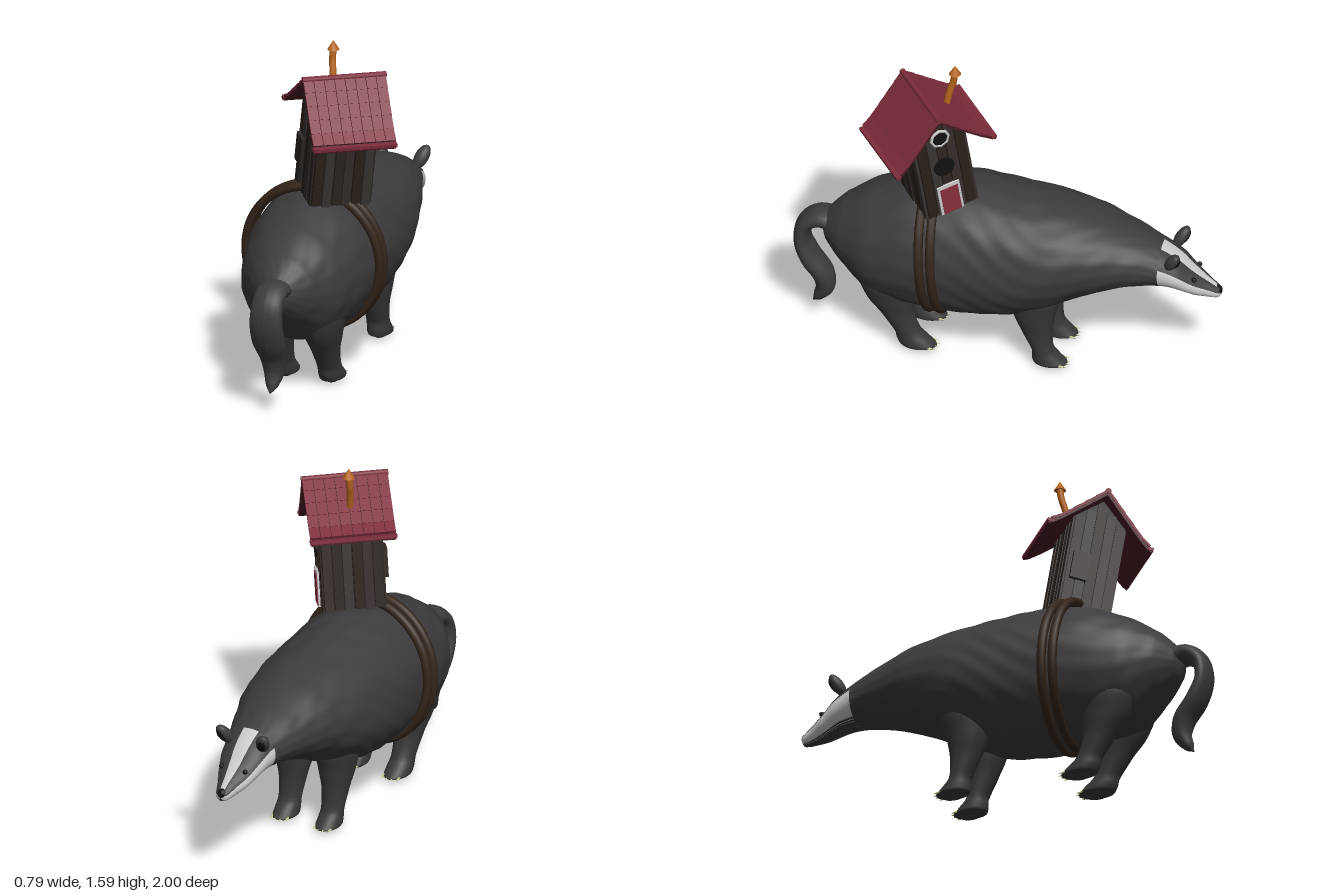
import * as THREE from 'three';

const mat = (color) => new THREE.MeshStandardMaterial({ color, side: THREE.DoubleSide });
const FUR = mat(0x3d3b3d), LEG = mat(0x383839), WHITE = mat(0xcfcfcf), BLACK = mat(0x111111), CLAW = mat(0xc6c68c);
const ROPE = mat(0x33251a), WOOD = [mat(0x2e2622), mat(0x352d2a), mat(0x2b211a), mat(0x3a3532)];
const DARK = mat(0x1c1615), TILE = mat(0x7d2c3b), TILE_DARK = mat(0x4a1a24), DOOR = mat(0x8a2f40), ORANGE = mat(0xb5651d);
const CX = -0.04; // the animal's middle plane

function add(parent, name, geo, material, x = 0, y = 0, z = 0) {
  const m = new THREE.Mesh(geo, material);
  m.name = name;
  m.position.set(x, y, z);
  parent.add(m);
  return m;
}

// Skin of ellipses along a path in the yz plane; rows are [y, z, halfWidth, halfDepth].
// Angles run from +x over the upper side; axis fixes the direction of the rings.
function loft(rows, { x = 0, axis = null, a0 = -90, a1 = 270, t0 = 0, t1 = 1, steps = 40, seg = 32, bump = 0 } = {}) {
  const path = new THREE.CatmullRomCurve3(rows.map((r) => new THREE.Vector3(x, r[0], r[1])));
  const radii = new THREE.CatmullRomCurve3(rows.map((r) => new THREE.Vector3(r[2], r[3], 0)), false, 'catmullrom', 0.4);
  const X = new THREE.Vector3(1, 0, 0), pos = [], idx = [];
  for (let i = 0; i <= steps; i++) {
    const t = t0 + (t1 - t0) * i / steps;
    const c = path.getPoint(t), r = radii.getPoint(t);
    const N = X.clone().cross(axis || path.getTangent(t));
    for (let j = 0; j <= seg; j++) {
      const a = THREE.MathUtils.degToRad(a0 + (a1 - a0) * j / seg);
      const f = 1 + bump * Math.sin(13 * a + 5 * Math.sin(t * 17)) * Math.sin(t * 50 + 3 * Math.sin(2 * a));
      const p = c.clone().addScaledVector(X, Math.max(r.x, 0.001) * f * Math.cos(a))
        .addScaledVector(N, Math.max(r.y, 0.001) * f * Math.sin(a));
      pos.push(p.x, p.y, p.z);
      if (i < steps && j < seg) {
        const k = i * (seg + 1) + j, n = k + seg + 1;
        idx.push(k, n, k + 1, n, n + 1, k + 1);
      }
    }
  }
  const g = new THREE.BufferGeometry();
  g.setAttribute('position', new THREE.Float32BufferAttribute(pos, 3));
  g.setIndex(idx);
  g.computeVertexNormals();
  return g;
}

function buildAnimal() {
  const g = new THREE.Group();
  g.name = 'animal';

  // Trunk and head share one profile: [z, top, bottom, halfWidth]
  const rows = [
    [0.87, 0.55, 0.53, 0.01], [0.84, 0.62, 0.46, 0.08], [0.76, 0.70, 0.37, 0.16], [0.62, 0.79, 0.25, 0.25],
    [0.42, 0.87, 0.21, 0.295], [0.18, 0.89, 0.205, 0.31], [-0.02, 0.87, 0.23, 0.31], [-0.2, 0.845, 0.30, 0.295],
    [-0.4, 0.805, 0.40, 0.245], [-0.58, 0.74, 0.46, 0.18], [-0.72, 0.68, 0.475, 0.13], [-0.8, 0.63, 0.465, 0.112],
    [-0.87, 0.565, 0.44, 0.085], [-0.94, 0.51, 0.425, 0.05], [-0.985, 0.475, 0.425, 0.03], [-0.995, 0.46, 0.44, 0.005],
  ].map(([z, top, bottom, w]) => [(top + bottom) / 2, z, w, (top - bottom) / 2]);
  const axis = new THREE.Vector3(0, 0, -1), split = 10 / 15;
  add(g, 'body', loft(rows, { x: CX, axis, t1: split, steps: 90, seg: 80, bump: 0.012 }), FUR);

  // Head: striped bands around the muzzle
  const bands = [['jaw', -130, -65, FUR], ['cheek', -65, 20, WHITE], ['eyeStripe', 20, 72, FUR],
    ['browStripe', 72, 108, WHITE], ['eyeStripe', 108, 160, FUR], ['cheek', 160, 245, WHITE]];
  for (const [name, a0, a1, m] of bands) {
    add(g, name, loft(rows, { x: CX, axis, a0, a1, t0: split, seg: 12, bump: 0 }), m);
  }
  add(g, 'nose', new THREE.SphereGeometry(0.026, 16, 12), BLACK, CX, 0.458, -0.972);

  // Tail
  const tail = [[0.56, 0.80, 0.08, 0.05], [0.575, 0.88, 0.075, 0.045], [0.53, 0.945, 0.075, 0.04], [0.44, 0.962, 0.08, 0.038],
    [0.34, 0.925, 0.08, 0.045], [0.25, 0.865, 0.065, 0.05], [0.18, 0.855, 0.05, 0.045], [0.12, 0.885, 0.03, 0.027],
    [0.085, 0.912, 0.002, 0.002]];
  add(g, 'tail', loft(tail, { x: CX, seg: 20 }), FUR);

  // Legs: [y, z, halfWidth, halfDepth], thigh to sole
  const hind = [[0.52, 0.55, 0.06, 0.12], [0.38, 0.54, 0.11, 0.14], [0.27, 0.525, 0.09, 0.115], [0.17, 0.49, 0.066, 0.075],
    [0.08, 0.445, 0.055, 0.062], [0.035, 0.415, 0.058, 0.08], [0.008, 0.395, 0.056, 0.085], [0, 0.395, 0.03, 0.05], [0, 0.395, 0.001, 0.001]];
  const fore = [[0.55, -0.16, 0.06, 0.1], [0.4, -0.15, 0.1, 0.13], [0.28, -0.145, 0.085, 0.1], [0.17, -0.16, 0.062, 0.07],
    [0.08, -0.185, 0.054, 0.052], [0.035, -0.205, 0.056, 0.07], [0.008, -0.22, 0.055, 0.08], [0, -0.22, 0.03, 0.05], [0, -0.22, 0.001, 0.001]];
  for (const s of [-1, 1]) {
    for (const [name, legRows, toeZ] of [['hindLeg', hind, 0.315], ['foreLeg', fore, -0.295]]) {
      const x = CX + s * 0.113;
      const down = new THREE.Vector3(0, -1, 0);
      add(g, name, loft(legRows, { x, axis: down, seg: 24 }), LEG);
      for (let i = 0; i < 4; i++) {
        const off = (i - 1.5) * 0.025;
        const claw = add(g, 'claw', new THREE.ConeGeometry(0.009, 0.05, 8), CLAW, x + off, 0.011, toeZ + Math.abs(off) * 0.4);
        claw.rotation.x = -Math.PI / 2 - 0.12;
      }
    }
    // Ears with a dark hollow, and eyes
    const ear = add(g, 'ear', new THREE.SphereGeometry(1, 20, 14), FUR, CX + s * 0.1, 0.655, -0.785);
    ear.scale.set(0.033, 0.06, 0.028);
    ear.rotation.set(-0.55, 0, -s * 0.35);
    const hollow = add(g, 'earHollow', new THREE.SphereGeometry(1, 16, 12), BLACK, CX + s * 0.104, 0.655, -0.799);
    hollow.scale.set(0.022, 0.042, 0.02);
    hollow.rotation.copy(ear.rotation);
    add(g, 'eye', new THREE.SphereGeometry(0.012, 12, 10), BLACK, CX + s * 0.062, 0.542, -0.878);
  }
  return g;
}

// Rope loops round the trunk, leaning back towards the top
function buildRopes() {
  const g = new THREE.Group();
  g.name = 'ropes';
  for (const [top, bottom] of [[0.37, 0.325], [0.315, 0.272]]) {
    const pts = [];
    for (let i = 0; i < 24; i++) {
      const a = i / 24 * Math.PI * 2, s = Math.sin(a);
      pts.push(new THREE.Vector3(-0.045 + 0.325 * Math.cos(a), 0.555 + 0.345 * s, bottom + (top - bottom) * (s + 1) / 2));
    }
    add(g, 'ropeLoop', new THREE.TubeGeometry(new THREE.CatmullRomCurve3(pts, true), 96, 0.021, 10, true), ROPE);
  }
  return g;
}

// Crooked house; local x runs along the ridge, door on +x
function buildHouse() {
  const g = new THREE.Group();
  g.name = 'house';
  const L = 0.28, W = 0.24, eave = 0.46, apex = 0.57;
  const roofY = (z) => eave + (apex - eave) * (1 - Math.abs(z) / (W / 2));

  const core = new THREE.Shape([[-W / 2, 0], [W / 2, 0], [W / 2, eave], [0, apex], [-W / 2, eave]].map((p) => new THREE.Vector2(...p)));
  const coreGeo = new THREE.ExtrudeGeometry(core, { depth: L, bevelEnabled: false });
  coreGeo.translate(0, 0, -L / 2).rotateY(Math.PI / 2);
  add(g, 'walls', coreGeo, DARK);

  // Uneven planks on all four walls
  for (const s of [-1, 1]) {
    for (let i = 0; i < 6; i++) {
      const w = L / 6, h = eave + 0.005 - 0.008 * (i % 2);
      add(g, 'sidePlank', new THREE.BoxGeometry(w - 0.005, h, 0.014 + 0.005 * (i % 3)), WOOD[(i + s + 1) % 4],
        -L / 2 + w * (i + 0.5), h / 2 - 0.008 * (i % 2), s * W / 2);
    }
    for (let i = 0; i < 5; i++) {
      const w = W / 5, z = -W / 2 + w * (i + 0.5), h = roofY(Math.abs(z) + w / 2);
      add(g, 'gablePlank', new THREE.BoxGeometry(0.014 + 0.005 * (i % 2), h, w - 0.005), WOOD[(i * 3 + s + 1) % 4], s * L / 2, h / 2, z);
    }
  }

  // Roof slopes with a slight flare at the eaves
  const slope = [[0, 0.595], [0.09, 0.505], [0.18, 0.418], [0.225, 0.38], [0.25, 0.367]];
  const outline = [...slope, ...slope.slice().reverse().map(([z, y]) => [z, y - 0.018])];
  for (const s of [-1, 1]) {
    const shape = new THREE.Shape(outline.map(([z, y]) => new THREE.Vector2(-s * z, y)));
    const geo = new THREE.ExtrudeGeometry(shape, { depth: 0.39, bevelEnabled: false });
    geo.translate(0, 0, -0.195).rotateY(Math.PI / 2);
    add(g, 'roofSlope', geo, TILE_DARK);
    // Overlapping courses of tiles
    for (let r = 0; r < 5; r++) {
      const z = 0.024 + r * 0.046, y = 0.577 - r * 0.0455 + (r === 4 ? 0.006 : 0);
      for (let c = 0; c < 8; c++) {
        const tile = add(g, 'roofTile', new THREE.BoxGeometry(0.047, 0.012, 0.067), TILE, (c - 3.5) * 0.0495, y, s * z);
        tile.rotation.x = s * (r === 4 ? 0.6 : 0.74);
      }
    }
    // Curled bargeboard ends
    add(g, 'eaveBoard', new THREE.BoxGeometry(0.4, 0.016, 0.025), TILE, 0, 0.367, s * 0.243);
  }
  add(g, 'ridgeCap', new THREE.CylinderGeometry(0.014, 0.014, 0.4, 10).rotateZ(Math.PI / 2), TILE, 0, 0.598, 0);

  // Door, round opening and octagonal window on the front gable
  const fx = L / 2 + 0.012;
  add(g, 'doorFrame', new THREE.BoxGeometry(0.012, 0.165, 0.112), WHITE, fx, 0.083, 0.005);
  add(g, 'door', new THREE.BoxGeometry(0.016, 0.145, 0.088), DOOR, fx + 0.002, 0.076, 0.005);
  const disc = (r, d, n) => new THREE.CylinderGeometry(r, r, d, n).rotateZ(Math.PI / 2);
  add(g, 'roundOpening', disc(0.05, 0.008, 24), BLACK, fx, 0.275, 0.005);
  add(g, 'windowFrame', new THREE.TorusGeometry(0.043, 0.008, 6, 8).rotateY(Math.PI / 2), WHITE, fx, 0.452, 0);
  add(g, 'windowPane', disc(0.043, 0.008, 8), BLACK, fx, 0.452, 0);
  // Small hatch on the rear gable
  add(g, 'rearHatch', new THREE.BoxGeometry(0.03, 0.14, 0.08), WOOD[0], -L / 2 - 0.01, 0.2, -0.06);

  // Lean and turn on the animal's back
  const ex = new THREE.Vector3(0.787, -0.037, -0.612).normalize();
  const ey = new THREE.Vector3(0.603, -0.174, 0.777).cross(ex).normalize();
  const ez = ex.clone().cross(ey);
  g.quaternion.setFromRotationMatrix(new THREE.Matrix4().makeBasis(ex, ey, ez));
  g.position.set(0.037, 0.87, 0.305);
  return g;
}

// Bent stovepipe with a pointed cap
function buildChimney() {
  const g = new THREE.Group();
  g.name = 'chimney';
  const pts = [[0.03, 1.36, 0.275], [0.022, 1.43, 0.262], [0.014, 1.49, 0.245], [0.014, 1.54, 0.238]].map((p) => new THREE.Vector3(...p));
  add(g, 'pipe', new THREE.TubeGeometry(new THREE.CatmullRomCurve3(pts), 16, 0.016, 12), ORANGE);
  add(g, 'pipeCap', new THREE.ConeGeometry(0.028, 0.046, 12), ORANGE, 0.015, 1.555, 0.238);
  return g;
}

export function createModel() {
  const model = new THREE.Group();
  model.name = 'animalCarryingHouse';
  model.add(buildAnimal(), buildRopes(), buildHouse(), buildChimney());
  return model;
}
